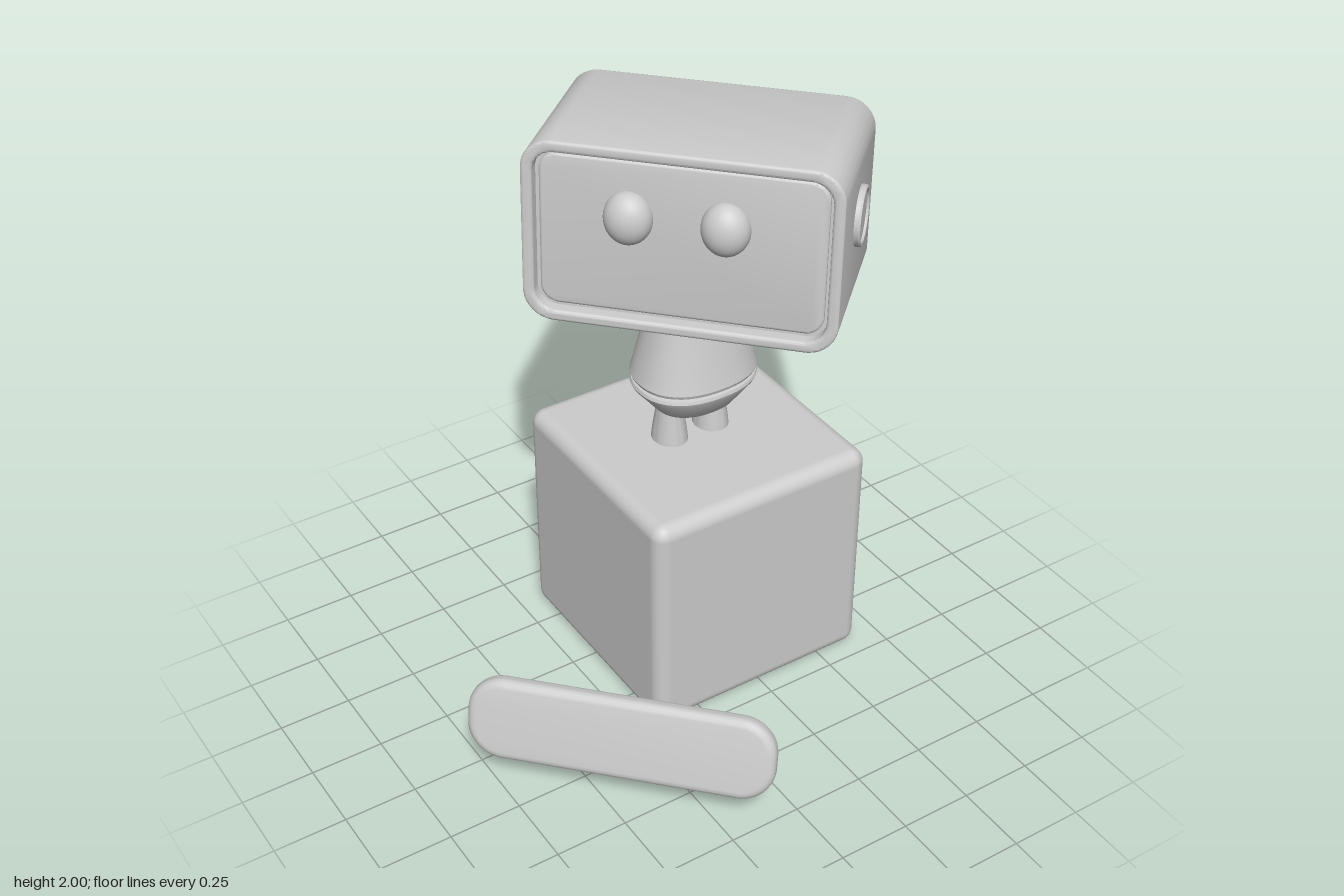
import * as THREE from 'three';
import { toCreasedNormals } from 'three/addons/utils/BufferGeometryUtils.js';
import { RoundedBoxGeometry } from 'three/addons/geometries/RoundedBoxGeometry.js';

const grey = new THREE.MeshStandardMaterial({ color: 0xcccccc, side: THREE.DoubleSide });
const YAW = -0.806;

function add(parent, name, geometry, x = 0, y = 0, z = 0) {
  const mesh = new THREE.Mesh(geometry, grey);
  mesh.name = name;
  mesh.position.set(x, y, z);
  parent.add(mesh);
  return mesh;
}

// Rounded rectangle outline, centred on the origin
function roundedRect(w, h, r, Type = THREE.Shape) {
  const s = new Type(), a = w / 2, b = h / 2;
  s.moveTo(-a + r, -b);
  s.lineTo(a - r, -b).absarc(a - r, -b + r, r, -Math.PI / 2, 0);
  s.lineTo(a, b - r).absarc(a - r, b - r, r, 0, Math.PI / 2);
  s.lineTo(-a + r, b).absarc(-a + r, b - r, r, Math.PI / 2, Math.PI);
  s.lineTo(-a, -b + r).absarc(-a + r, -b + r, r, Math.PI, Math.PI * 1.5);
  return s;
}

// Extrude to a total depth, centred in z, with smooth rounded corners
function slab(shape, depth, bevel, segments = 3) {
  const g = new THREE.ExtrudeGeometry(shape, {
    depth: depth - 2 * bevel, bevelEnabled: bevel > 0, bevelSize: bevel, bevelThickness: bevel,
    bevelOffset: -bevel, bevelSegments: segments, curveSegments: 12,
  });
  g.translate(0, 0, -depth / 2 + bevel);
  return toCreasedNormals(g, 0.7);
}

// Turned part; an exponent above 2 makes its plan slightly squarish
function lathe(points, exponent = 2) {
  const g = new THREE.LatheGeometry(points.map(([r, y]) => new THREE.Vector2(r, y)), 48);
  const p = g.attributes.position;
  for (let i = 0; i < p.count; i++) {
    const x = p.getX(i), z = p.getZ(i);
    const norm = (Math.abs(x) ** exponent + Math.abs(z) ** exponent) ** (1 / exponent);
    const k = norm > 0 ? Math.hypot(x, z) / norm : 1;
    p.setXYZ(i, x * k, p.getY(i), z * k);
  }
  return toCreasedNormals(g, 0.5);
}

// Head: open casing with inset panels front and back, a groove around each
function makeHead() {
  const head = new THREE.Group();
  head.name = 'head';
  const W = 1.0, H = 0.613, D = 0.578, FACE = D / 2 - 0.03;

  const shell = roundedRect(W, H, 0.1);
  shell.holes.push(roundedRect(W - 0.075, H - 0.075, 0.07, THREE.Path));
  add(head, 'headCasing', slab(shell, D, 0.01), 0, 0, 0);

  const backing = slab(roundedRect(W - 0.07, H - 0.07, 0.07), 0.02, 0);
  const panel = slab(roundedRect(W - 0.1, H - 0.1, 0.06), 0.04, 0.01);
  for (const side of [-1, 1]) {
    const end = side > 0 ? 'face' : 'back';
    add(head, end + 'Backing', backing, 0, 0, side * (FACE - 0.025));
    add(head, end + 'Panel', panel, 0, 0, side * (FACE - 0.02));

    // Domed eyes
    add(head, side > 0 ? 'leftEye' : 'rightEye', new THREE.SphereGeometry(1, 32, 24),
      side * 0.152 - 0.015, 0.07, FACE).scale.set(0.078, 0.088, 0.066);

    // Round ear with raised rim
    const ear = new THREE.Group();
    ear.name = side > 0 ? 'leftEar' : 'rightEar';
    ear.position.set(side * W / 2, 0.036, -0.008);
    ear.rotation.z = -side * Math.PI / 2;
    add(ear, 'earRim', lathe([[0.098, -0.01], [0.098, 0.014], [0.094, 0.02], [0.086, 0.02], [0.083, 0.015], [0.083, -0.01]]));
    add(ear, 'earDisc', new THREE.CylinderGeometry(0.085, 0.085, 0.024, 40));
    head.add(ear);
  }

  head.position.set(0.2575, 1.677, -0.236);
  head.rotation.set(-0.063, YAW, 0, 'YXZ');
  return head;
}

// Neck: oval tapered collar over a shallow cup, standing on two posts
function makeNeck() {
  const neck = new THREE.Group();
  neck.name = 'neck';
  neck.position.set(0.24, 0, -0.24);

  const collar = lathe([[0, 1.42], [0.138, 1.42], [0.15, 1.35], [0.208, 1.12], [0.216, 1.092], [0.211, 1.08], [0.195, 1.075], [0, 1.075]], 2.3);
  const cup = lathe([[0, 1.08], [0.195, 1.08], [0.195, 1.073], [0.212, 1.069], [0.216, 1.058], [0.211, 1.047], [0.145, 0.965], [0.135, 0.96], [0, 0.96]], 2.3);
  for (const [name, g] of [['neckCollar', collar], ['neckCup', cup]]) add(neck, name, g).scale.z = 0.81;

  for (const side of [-1, 1]) {
    const post = add(neck, 'neckPost', lathe([[0.042, 1.0], [0.046, 0.94], [0.056, 0.87], [0.061, 0.82]]), side * 0.082 - 0.012);
    post.scale.z = 1.15;
  }
  return neck;
}

export function createModel() {
  const model = new THREE.Group();
  model.name = 'robot';

  add(model, 'body', new RoundedBoxGeometry(0.833, 0.835, 0.833, 5, 0.05), 0.241, 0.4175, -0.223);
  model.add(makeNeck(), makeHead());

  // Detached paddle-like arm, leaning back
  const arm = add(model, 'arm', slab(roundedRect(1.01, 0.287, 0.12), 0.066, 0.028, 4), -0.455, 0.287, 0.41);
  arm.rotation.set(-0.26, YAW, 0, 'YXZ');
  return model;
}
